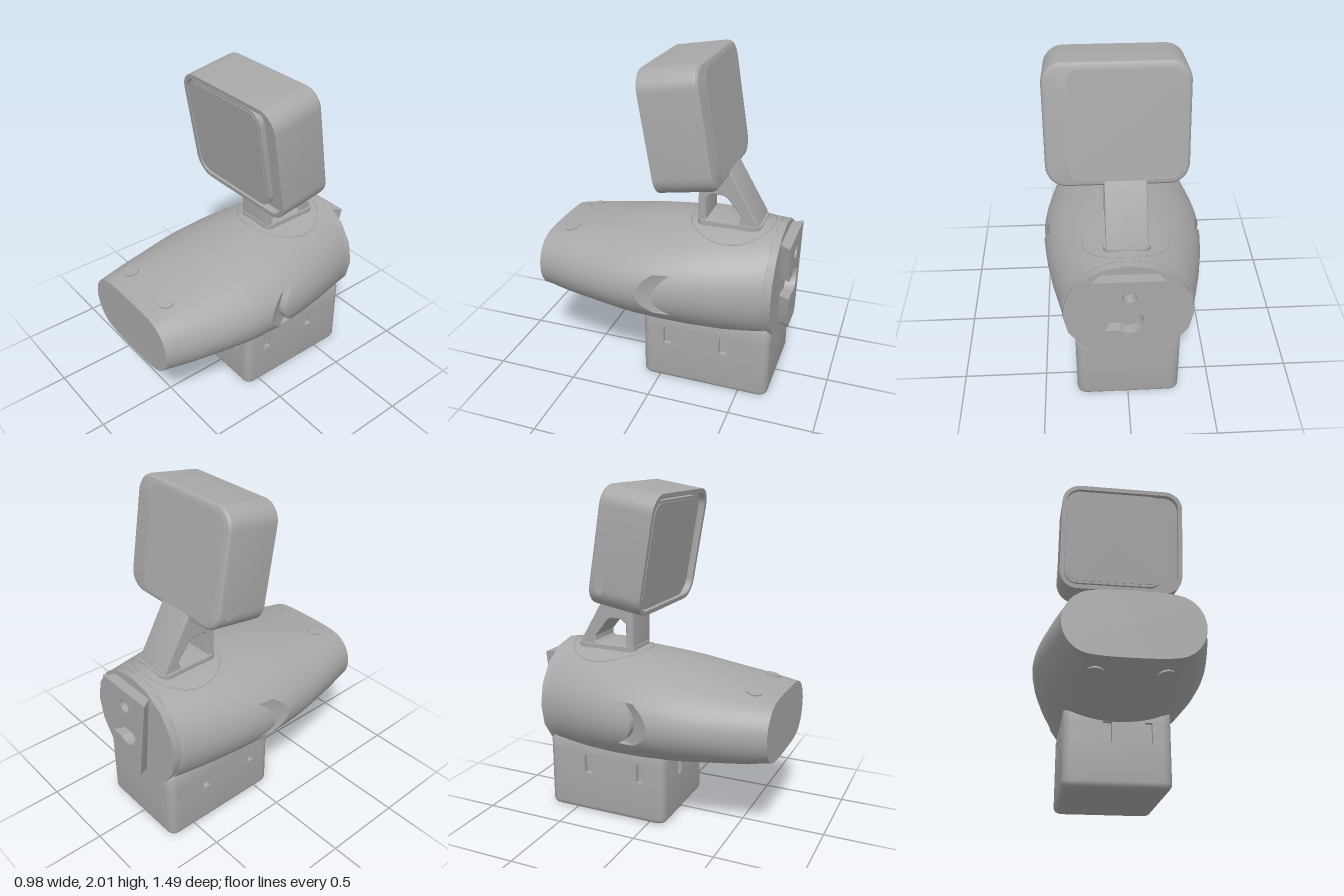
import * as THREE from 'three';
import { toCreasedNormals } from 'three/addons/utils/BufferGeometryUtils.js';

const { lerp, smoothstep } = THREE.MathUtils;
const grey = new THREE.MeshStandardMaterial({ color: 0xa8a8a8 });
grey.name = 'matte grey';

function add(parent, name, geometry, x = 0, y = 0, z = 0) {
  const mesh = new THREE.Mesh(geometry, grey);
  mesh.name = name;
  mesh.position.set(x, y, z);
  parent.add(mesh);
  return mesh;
}

// Skin over counter-clockwise rings stacked towards +z, closed at both ends
function loft(rings, crease = 0.5) {
  const n = rings[0].length;
  const pos = rings.flat().flatMap(p => [p.x, p.y, p.z]);
  const index = [];
  for (let i = 0; i < rings.length - 1; i++) {
    for (let j = 0; j < n; j++) {
      const a = i * n + j, b = i * n + (j + 1) % n;
      index.push(a, b, a + n, b, b + n, a + n);
    }
  }
  [0, rings.length - 1].forEach((r, end) => {
    const c = pos.length / 3;
    const mid = rings[r].reduce((s, p) => s.add(p), new THREE.Vector3()).divideScalar(n);
    pos.push(mid.x, mid.y, mid.z);
    for (let j = 0; j < n; j++) {
      const a = r * n + j, b = r * n + (j + 1) % n;
      index.push(c, end ? a : b, end ? b : a);
    }
  });
  const g = new THREE.BufferGeometry();
  g.setAttribute('position', new THREE.Float32BufferAttribute(pos, 3));
  g.setIndex(index);
  return toCreasedNormals(g, crease);
}

// Rounded rectangle ring in a plane of constant z
function roundRing(w, h, r, z, cx = 0, cy = 0) {
  const pts = [];
  [[1, 1], [-1, 1], [-1, -1], [1, -1]].forEach(([sx, sy], q) => {
    for (let k = 0; k <= 8; k++) {
      const a = (q + k / 8) * Math.PI / 2;
      pts.push(new THREE.Vector3(cx + sx * (w / 2 - r) + r * Math.cos(a), cy + sy * (h / 2 - r) + r * Math.sin(a), z));
    }
  });
  return pts;
}

const slab = (w, h, r, depth) => loft([roundRing(w, h, r, 0), roundRing(w, h, r, depth)]);

// Body profile: z, half width, top, bottom
const profile = [
  [-0.64, 0.37, 1.03, 0.33], [-0.6, 0.38, 1.03, 0.33], [-0.4, 0.43, 1.027, 0.335], [-0.2, 0.467, 1.02, 0.345],
  [0, 0.488, 1.0, 0.36], [0.1, 0.488, 0.99, 0.367], [0.2, 0.48, 0.975, 0.378], [0.3, 0.468, 0.957, 0.393],
  [0.535, 0.42, 0.905, 0.443], [0.7, 0.378, 0.868, 0.483], [0.745, 0.37, 0.86, 0.49],
];
function section(z) {
  let i = 0;
  while (i < profile.length - 2 && z > profile[i + 1][0]) i++;
  const [a, b] = [profile[i], profile[i + 1]];
  const t = (z - a[0]) / (b[0] - a[0]);
  const [w, top, bottom] = [1, 2, 3].map(k => lerp(a[k], b[k], t));
  return { w, c: (top + bottom) / 2, h: (top - bottom) / 2 };
}

function bodyGeometry() {
  const angles = Array.from({ length: 64 }, (_, k) => k * Math.PI / 32);
  angles.push(0.4, Math.PI - 0.4, Math.PI + 0.4, Math.PI * 2 - 0.4);
  angles.sort((a, b) => a - b);
  // Rows: z, and for the rows of the crescent vents also their depth
  const rows = [[-0.64], [-0.6], [-0.5], [-0.4], [-0.3], [-0.22], [-0.17], [-0.02, 0], [-0.018, 0.05], [0.03, 0.026], [0.08, 0],
    [0.14], [0.2], [0.27], [0.35], [0.43], [0.5], [0.57], [0.64], [0.7], [0.745]];
  return loft(rows.map(([z0, depth]) => angles.map(t => {
    const fold = Math.asin(Math.min(1, Math.abs(Math.sin(t))));
    const z = depth === undefined ? z0 : z0 - 0.1 * Math.min(1, (fold / 0.4) ** 2);
    const { w, c, h } = section(z);
    const cos = Math.cos(t);
    // Ellipse in the middle turning into a stadium at the nose
    let x = lerp(w * cos, (w - h) * Math.tanh(4 * cos) + h * cos, smoothstep(z, 0.2, 0.745));
    if (depth && fold < 0.395) x -= Math.sign(x) * depth;
    return new THREE.Vector3(x, c + h * Math.sin(t), z);
  })), 0.45);
}

// Plan of the base with small slots cut into its front and sides
function slottedPlan() {
  const s = new THREE.Shape(), W = 0.305, r = 0.05, front = -0.105, back = 0.68, d = 0.03;
  const slot = (x1, y1, x2, y2, nx, ny) =>
    [[x1, y1], [x1 + nx, y1 + ny], [x2 + nx, y2 + ny], [x2, y2]].forEach(p => s.lineTo(...p));
  s.moveTo(W, front + r);
  slot(W, 0.03, W, 0.075, -d, 0);
  slot(W, 0.38, W, 0.43, -d, 0);
  s.absarc(W - r, back - r, r, 0, Math.PI / 2);
  s.absarc(-W + r, back - r, r, Math.PI / 2, Math.PI);
  slot(-W, 0.43, -W, 0.38, d, 0);
  slot(-W, 0.075, -W, 0.03, d, 0);
  s.absarc(-W + r, front + r, r, Math.PI, Math.PI * 1.5);
  slot(-0.085, front, -0.035, front, 0, d);
  slot(0.155, front, 0.195, front, 0, d);
  s.absarc(W - r, front + r, r, Math.PI * 1.5, Math.PI * 2);
  return s;
}

function buildBase(root) {
  const base = new THREE.Group();
  base.name = 'base';
  root.add(base);
  const ring = (inset, y) => roundRing(0.61 - 2 * inset, 0.785 - 2 * inset, 0.05 - inset * 0.5, y, 0, 0.2875);
  const foot = [0, 1, 2, 3, 4].map(k => {
    const a = k * Math.PI / 8;
    return ring(0.035 * (1 - Math.sin(a)), 0.035 * (1 - Math.cos(a)));
  });
  add(base, 'baseFoot', loft([...foot, ring(0, 0.255)]).rotateX(-Math.PI / 2));
  const middle = new THREE.ExtrudeGeometry(slottedPlan(), { depth: 0.115, bevelEnabled: false, curveSegments: 8 });
  add(base, 'slottedBand', toCreasedNormals(middle.rotateX(-Math.PI / 2), 0.5), 0, 0.255, 0);
  add(base, 'baseTop', loft([ring(0, 0.37), ring(0, 0.44), ring(0.01, 0.465), ring(0.035, 0.475)]).rotateX(-Math.PI / 2));
  for (const z of [-0.07, -0.5]) add(base, 'footScrew', new THREE.CylinderGeometry(0.03, 0.03, 0.008, 16), 0, 0.004, z);
}

function buildRear(root) {
  const disc = new THREE.CylinderGeometry(1, 1, 0.05, 16).rotateX(Math.PI / 2).scale(0.37, 0.35, 1);
  add(root, 'rearDisc', disc, 0, 0.68, -0.66);
  // Wedge-shaped dovetail with a keyhole slot open to the left
  const s = new THREE.Shape([[0.158, 0.74], [0.2, 0.97], [-0.2, 0.97], [-0.11, 0.42], [-0.085, 0.39], [0.085, 0.39], [0.11, 0.42], [0.138, 0.61]]
    .map(p => new THREE.Vector2(...p)));
  s.absarc(0, 0.675, 0.085, -0.87, 0.87, true);
  const hole = new THREE.Path().absarc(0, 0.86, 0.04, 0, Math.PI * 2, true);
  s.holes.push(hole);
  const g = new THREE.ExtrudeGeometry(s, { depth: 0.063, bevelEnabled: false, curveSegments: 20 });
  const p = g.attributes.position;
  for (let i = 0; i < p.count; i++) if (p.getZ(i) > 0.03) p.setX(i, p.getX(i) * 0.78);
  add(root, 'dovetailMount', toCreasedNormals(g, 0.5), 0, 0, -0.746);
}

function buildNeck(root) {
  const s = new THREE.Shape([[0.18, 1.0], [0.55, 1.0], [0.54, 1.05], [0.36, 1.36], [0.18, 1.36]].map(p => new THREE.Vector2(...p)));
  s.holes.push(new THREE.Path([[0.23, 1.04], [0.23, 1.175], [0.265, 1.2], [0.33, 1.2], [0.355, 1.185], [0.435, 1.085], [0.435, 1.055], [0.42, 1.04]]
    .map(p => new THREE.Vector2(...p))));
  const g = new THREE.ExtrudeGeometry(s, { depth: 0.21, bevelThickness: 0.012, bevelSize: 0.008, bevelOffset: -0.008, bevelSegments: 2 });
  add(root, 'neckBracket', toCreasedNormals(g.translate(0, 0, -0.105).rotateY(Math.PI / 2), 0.5));
  add(root, 'neckFlange', slab(0.265, 0.385, 0.05, 0.05).rotateX(-Math.PI / 2), 0, 0.985, -0.365);
  // Round seam lying on the body around the neck
  const seam = Array.from({ length: 48 }, (_, k) => {
    const a = k * Math.PI / 24, x = 0.25 * Math.cos(a), z = -0.37 + 0.25 * Math.sin(a);
    const { w, c, h } = section(z);
    return new THREE.Vector3(x, c + h * Math.sqrt(1 - (x / w) ** 2), z);
  });
  add(root, 'neckSeam', new THREE.TubeGeometry(new THREE.CatmullRomCurve3(seam, true), 96, 0.004, 6, true));
}

function buildHead(root) {
  const head = new THREE.Group();
  head.name = 'head';
  head.position.set(0.04, 1.64, -0.144);
  head.rotation.x = 0.166;
  root.add(head);
  const W = 0.78, H = 0.695, D = 0.168;
  const ring = (inset, z) => roundRing(W - 2 * inset, H - 2 * inset, 0.115 - inset, z);
  // Shell with rounded back edges and a recessed front
  add(head, 'headShell', loft([ring(0.03, -D), ring(0.015, -D + 0.004), ring(0.004, -D + 0.015), ring(0, -D + 0.03),
    ring(0, D), ring(0.027, D), ring(0.027, D - 0.04)]));
  add(head, 'screenBlock', slab(0.625, 0.62, 0.085, 0.034), -0.048, 0, D - 0.041);
  add(head, 'screen', slab(0.595, 0.59, 0.07, 0.004), -0.048, 0, D - 0.007);
  add(head, 'backPanel', slab(0.6, 0.62, 0.06, 0.003), -0.04, 0, -D - 0.002);
  add(head, 'sidePort', slab(0.06, 0.13, 0.03, 0.006).rotateY(-Math.PI / 2), -W / 2 + 0.003, -0.2, -0.09);
}

export function createModel() {
  const root = new THREE.Group();
  root.name = 'deviceOnStand';
  add(root, 'body', bodyGeometry());
  // Screw caps near the nose, above and below
  for (const x of [-0.18, 0.18]) {
    for (const up of [1, -1]) {
      const cap = add(root, 'screwCap', new THREE.CylinderGeometry(0.045, 0.045, 0.009, 16), x, 0.675 + up * 0.211, 0.605);
      cap.rotation.set(up * 0.2, 0, -Math.sign(x) * up * 0.12);
    }
  }
  buildBase(root);
  buildRear(root);
  buildNeck(root);
  buildHead(root);
  return root;
}
